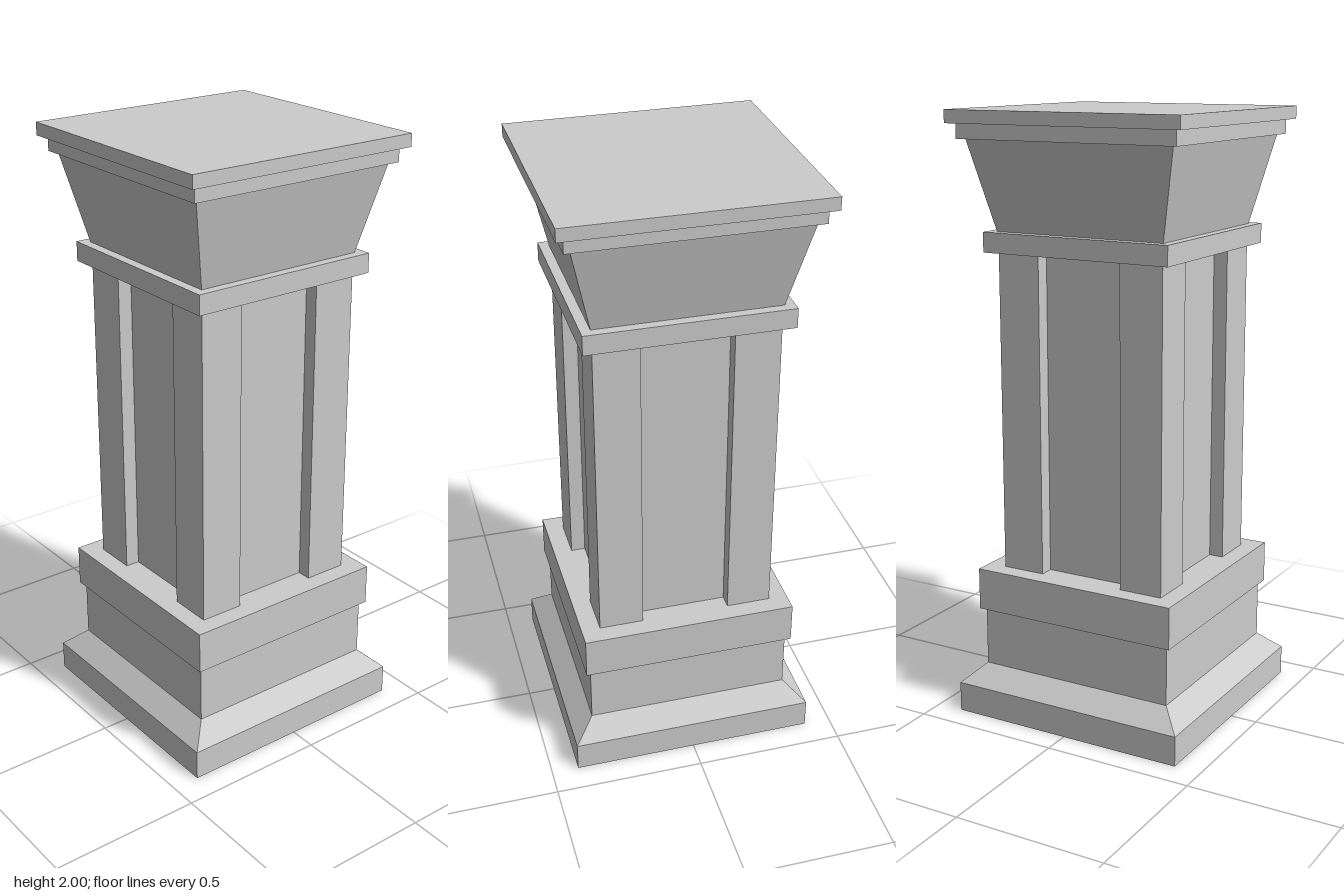
import * as THREE from 'three';

const material = new THREE.MeshStandardMaterial({ color: 0xcccccc, flatShading: true });

// Square tier from y0 to y1; half-widths may differ to give sloped sides
function tier(name, y0, y1, halfBottom, halfTop = halfBottom) {
  const geometry = new THREE.CylinderGeometry(
    halfTop * Math.SQRT2, halfBottom * Math.SQRT2, y1 - y0, 4, 1, false, Math.PI / 4);
  const mesh = new THREE.Mesh(geometry, material);
  mesh.name = name;
  mesh.position.y = (y0 + y1) / 2;
  return mesh;
}

// Square shaft with a full-height recessed panel in each face
function shaft(y0, y1, half, panelHalf, depth) {
  const shape = new THREE.Shape();
  const inner = half - depth;
  const side = [[half, -half], [half, -panelHalf], [inner, -panelHalf],
    [inner, panelHalf], [half, panelHalf]];
  const points = [];
  for (let i = 0; i < 4; i++) {
    for (const [x, y] of side) {
      points.push(new THREE.Vector2(x, y).rotateAround(new THREE.Vector2(), i * Math.PI / 2));
    }
  }
  shape.setFromPoints(points);
  const geometry = new THREE.ExtrudeGeometry(shape, { depth: y1 - y0, bevelEnabled: false });
  geometry.rotateX(-Math.PI / 2);
  const mesh = new THREE.Mesh(geometry, material);
  mesh.name = 'shaft';
  mesh.position.y = y0;
  return mesh;
}

export function createModel() {
  const column = new THREE.Group();
  column.name = 'column';

  // Pedestal
  column.add(
    tier('plinth', 0, 0.10, 0.41),
    tier('plinthSlope', 0.10, 0.163, 0.41, 0.342),
    tier('pedestal', 0.163, 0.36, 0.342),
    tier('pedestalCap', 0.36, 0.50, 0.358));

  // Panelled shaft
  column.add(shaft(0.50, 1.555, 0.295, 0.147, 0.048));

  // Capital
  column.add(
    tier('collar', 1.555, 1.62, 0.33),
    tier('flaredCapital', 1.62, 1.91, 0.298, 0.364),
    tier('lowerSlab', 1.91, 1.958, 0.385),
    tier('topSlab', 1.958, 2, 0.41));

  return column;
}
